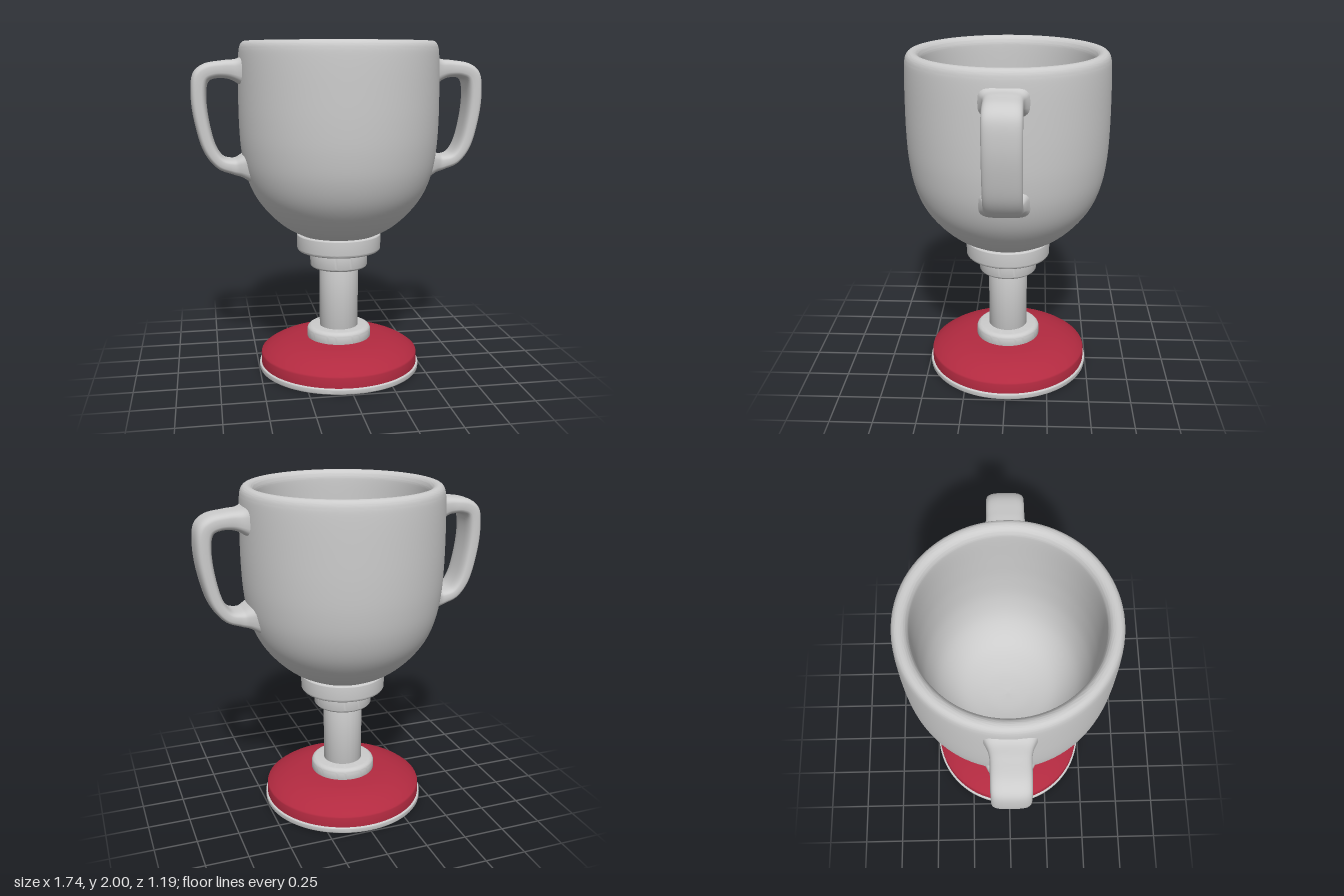
import * as THREE from 'three';
import { toCreasedNormals } from 'three/addons/utils/BufferGeometryUtils.js';

const grey = new THREE.MeshStandardMaterial({ color: 0xcccccc });
const red = new THREE.MeshStandardMaterial({ color: 0xb22a40 });

const v2 = ([x, y]) => new THREE.Vector2(x, y);
const spline = (pts, n) => new THREE.SplineCurve(pts.map(v2)).getPoints(n);

function turned(name, points, material = grey) {
  const mesh = new THREE.Mesh(toCreasedNormals(new THREE.LatheGeometry(points, 96), 0.6), material);
  mesh.name = name;
  return mesh;
}

// Solid disc with rounded lower and upper edges
function disc(name, r, y0, y1, bevelLow, bevelHigh) {
  const pts = [new THREE.Vector2(0, y0)];
  const corner = (b, cy, from) => {
    for (let i = 0; i <= 6; i++) {
      const a = from + (i / 6) * Math.PI / 2;
      pts.push(new THREE.Vector2(r - b + b * Math.cos(a), cy + b * Math.sin(a)));
    }
  };
  corner(bevelLow, y0 + bevelLow, -Math.PI / 2);
  corner(bevelHigh, y1 - bevelHigh, 0);
  pts.push(new THREE.Vector2(0, y1));
  return turned(name, pts);
}

// Handle swept between an outer and an inner edge line, flaring where it joins the cup
function handleGeometry() {
  const outer = new THREE.SplineCurve([[0.55, 1.94], [0.6, 1.9], [0.68, 1.89], [0.79, 1.87], [0.855, 1.81],
    [0.868, 1.68], [0.85, 1.53], [0.805, 1.37], [0.73, 1.27], [0.64, 1.23], [0.58, 1.21], [0.52, 1.17]].map(v2));
  const inner = new THREE.SplineCurve([[0.55, 1.72], [0.61, 1.765], [0.66, 1.785], [0.72, 1.787], [0.765, 1.765],
    [0.778, 1.68], [0.767, 1.55], [0.735, 1.41], [0.69, 1.335], [0.63, 1.32], [0.595, 1.335], [0.54, 1.37]].map(v2));
  const rings = 72, sides = 32, pos = [], index = [];
  const soft = c => Math.sign(c) * Math.pow(Math.abs(c), 0.6);
  for (let i = 0; i <= rings; i++) {
    const t = i / rings, o = outer.getPoint(t), n = inner.getPoint(t);
    const end = Math.min(t, 1 - t);
    const w = 0.104 + 0.055 * Math.pow(Math.max(0, 1 - end / 0.2), 2);
    for (let j = 0; j < sides; j++) {
      const a = (j / sides) * Math.PI * 2, c = soft(Math.cos(a)) / 2;
      pos.push((o.x + n.x) / 2 + (o.x - n.x) * c, (o.y + n.y) / 2 + (o.y - n.y) * c, w * soft(Math.sin(a)));
      if (i < rings) {
        const k = (j + 1) % sides, p = i * sides, q = p + sides;
        index.push(p + j, p + k, q + j, p + k, q + k, q + j);
      }
    }
  }
  const geo = new THREE.BufferGeometry();
  geo.setAttribute('position', new THREE.Float32BufferAttribute(pos, 3));
  geo.setIndex(index);
  geo.computeVertexNormals();
  return geo;
}

export function createModel() {
  const group = new THREE.Group();

  // Base: thin plate, red dome, collar
  group.add(disc('basePlate', 0.497, 0, 0.035, 0.008, 0.006));
  group.add(turned('baseDome', [
    ...[[0, 0.03], [0.485, 0.03], [0.485, 0.095]].map(v2),
    ...spline([[0.482, 0.103], [0.44, 0.132], [0.37, 0.162], [0.29, 0.182], [0.2, 0.192]], 24),
    new THREE.Vector2(0, 0.192),
  ], red));
  group.add(disc('baseCollar', 0.197, 0.18, 0.262, 0.008, 0.03));

  // Stem and stepped collars
  group.add(disc('stem', 0.119, 0.22, 0.7, 0.005, 0.005));
  group.add(disc('lowerCollar', 0.176, 0.638, 0.76, 0.02, 0.01));
  group.add(disc('upperCollar', 0.256, 0.742, 0.848, 0.02, 0.008));

  // Hollow cup: outside up, over the rounded rim, inside down
  group.add(turned('cup', [
    new THREE.Vector2(0, 0.835),
    ...spline([[0.22, 0.84], [0.33, 0.9], [0.43, 0.99], [0.51, 1.1], [0.56, 1.23], [0.585, 1.38], [0.594, 1.55],
      [0.594, 1.75], [0.59, 1.9], [0.583, 1.965], [0.567, 1.993], [0.545, 2], [0.522, 1.993], [0.505, 1.97],
      [0.498, 1.92], [0.497, 1.7], [0.492, 1.5], [0.47, 1.3], [0.41, 1.13], [0.3, 1.01], [0.15, 0.955], [0, 0.94]], 130),
  ]));

  // Pair of handles
  const geo = handleGeometry();
  ['leftHandle', 'rightHandle'].forEach((name, i) => {
    const handle = new THREE.Mesh(geo, grey);
    handle.name = name;
    handle.rotation.y = i * Math.PI;
    group.add(handle);
  });
  return group;
}
